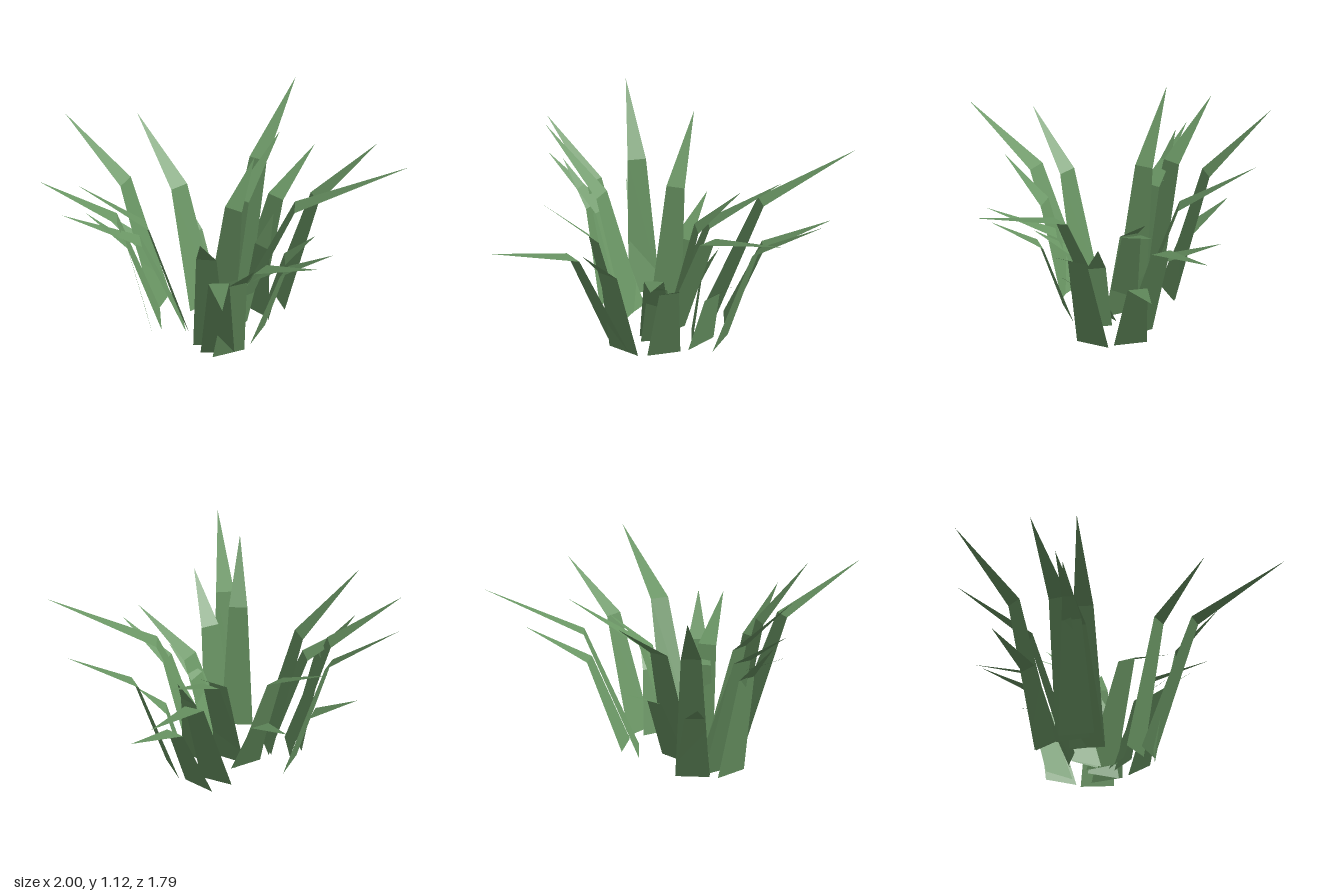
import * as THREE from 'three';

const BASE_WIDTH = 0.19, FOLD_WIDTH = 0.108; // blade widths at ground and fold
const FOLD_REACH = 0.355; // where the blade bends, as share of its reach

// Blades by clump: base x, base z, tip x, tip y, tip z, fold height as share of tip height
const clumps = {
  backClump: [
    [-0.19, -0.307, -0.262, 1.115, -0.90, 0.7],
    [-0.19, -0.29, -0.277, 0.56, -0.675, 0.72],
    [-0.075, -0.085, 0.13, 0.99, -0.705, 0.72],
    [-0.05, -0.09, 0.197, 0.56, -0.505, 0.72],
  ],
  leftClump: [
    [0.17, -0.03, 1.0, 0.985, -0.197, 0.745],
    [0.26, 0.03, 0.845, 0.685, 0.052, 0.755],
    [-0.06, 0.015, 0.57, 0.895, -0.015, 0.735],
    [-0.04, 0.02, 0.345, 0.835, -0.03, 0.75],
  ],
  frontClump: [
    [0.22, 0.24, 0.712, 0.96, 0.55, 0.715],
    [-0.05, 0.115, 0.455, 1.075, 0.89, 0.735],
    [0.11, 0.24, 0.263, 0.535, 0.445, 0.7],
    [0.06, 0.19, 0.207, 0.62, 0.2, 0.71],
    [-0.105, 0.32, -0.04, 0.73, 0.752, 0.71],
    [-0.14, 0.155, -0.192, 0.73, 0.752, 0.725],
    [-0.135, 0.2, -0.14, 0.58, 0.5, 0.73],
  ],
  rightClump: [
    [-0.36, 0.225, -1.0, 0.985, 0.727, 0.74],
    [-0.34, 0.158, -0.727, 1.055, 0.39, 0.7],
    [-0.33, 0.28, -0.537, 0.86, 0.59, 0.69],
    [-0.32, -0.21, -0.727, 1.0, -0.682, 0.73],
    [-0.26, -0.09, -0.727, 0.84, -0.535, 0.73],
    [-0.26, -0.09, -0.727, 1.09, -0.408, 0.68],
    [-0.395, -0.23, -0.64, 0.845, -0.445, 0.72],
  ],
};

// A folded leaf: tapering lower strip and a pointed tip
function bladeGeometry([bx, bz, tx, ty, tz, foldShare]) {
  const base = new THREE.Vector3(bx, 0, bz);
  const tip = new THREE.Vector3(tx, ty, tz);
  const fold = base.clone().lerp(tip, FOLD_REACH).setY(ty * foldShare);
  const side = new THREE.Vector3(tz - bz, 0, bx - tx).normalize();
  const edge = (p, w) => [-0.5, 0.5].map(s => p.clone().addScaledVector(side, s * w));
  const [b0, b1] = edge(base, BASE_WIDTH);
  const [f0, f1] = edge(fold, FOLD_WIDTH);
  const geometry = new THREE.BufferGeometry().setFromPoints(
    [b0, b1, f1, b0, f1, f0, f0, f1, tip]);
  geometry.computeVertexNormals();
  return geometry;
}

export function createModel() {
  const leafGreen = new THREE.MeshStandardMaterial({ color: 0x6a9664, side: THREE.DoubleSide });
  leafGreen.name = 'leafGreen';
  leafGreen.flatShading = true;

  const model = new THREE.Group();
  model.name = 'grassTuft';
  for (const [name, blades] of Object.entries(clumps)) {
    const clump = new THREE.Group();
    clump.name = name;
    blades.forEach((blade, i) => {
      const mesh = new THREE.Mesh(bladeGeometry(blade), leafGreen);
      mesh.name = `blade${i + 1}`;
      clump.add(mesh);
    });
    model.add(clump);
  }
  return model;
}
